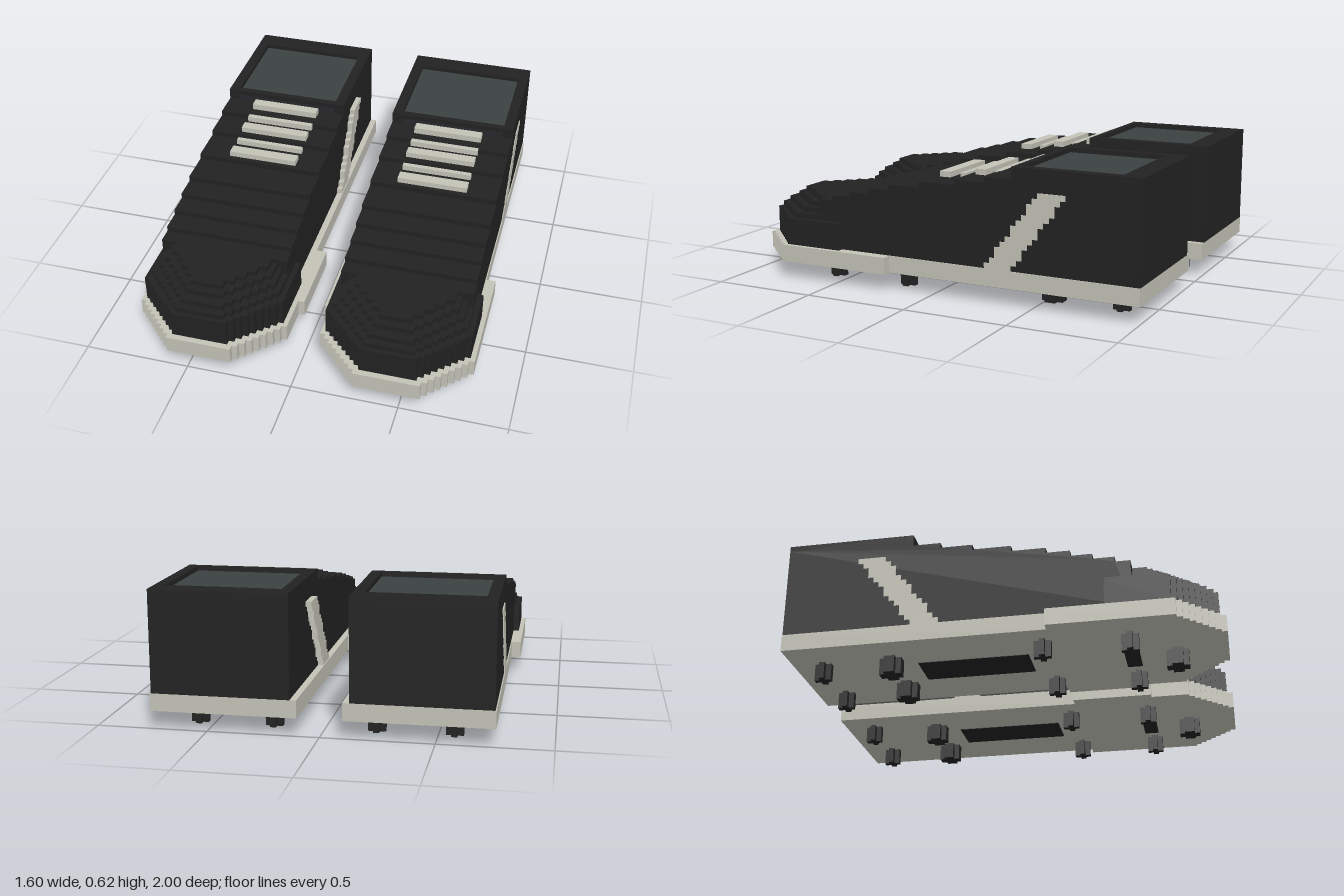
import * as THREE from 'three';

const mat = (name, color) => {
  const m = new THREE.MeshStandardMaterial({ color });
  m.name = name;
  return m;
};

export function createModel() {
  const black = mat('black upper', 0x222222);
  const cream = mat('cream sole', 0xc2c2b6);
  const lining = mat('grey lining', 0x3b4241);
  const tongueMat = mat('dark tongue', 0x26282c);
  const model = new THREE.Group();
  model.name = 'shoePair';
  const U = 0.0258; // size of one stair step

  // One shoe; s = 1 for the left foot, -1 for its mirror image
  function buildShoe(s) {
    const shoe = new THREE.Group();
    shoe.name = s > 0 ? 'leftShoe' : 'rightShoe';

    const add = (name, geo, m) => {
      const mesh = new THREE.Mesh(geo, m);
      mesh.name = name;
      shoe.add(mesh);
    };
    const box = (name, m, x0, x1, y0, y1, z0, z1) => {
      const g = new THREE.BoxGeometry(x1 - x0, y1 - y0, z1 - z0);
      g.translate(s * (x0 + x1) / 2, (y0 + y1) / 2, (z0 + z1) / 2);
      add(name, g, m);
    };
    // Flat slab from an outline of [x, z] points
    const slab = (name, m, pts, y0, y1) => {
      const shape = new THREE.Shape(pts.map(([x, z]) => new THREE.Vector2(s * x, z)));
      const g = new THREE.ExtrudeGeometry(shape, { depth: y1 - y0, bevelEnabled: false });
      g.rotateX(Math.PI / 2).translate(0, y1, 0);
      add(name, g, m);
    };
    // Stair-stepped toe outline running from the outer to the inner side
    const toe = (x0, x1, zSide, zFront, n, run) => {
      const outer = [], inner = [], dz = (zFront - zSide) / n, dx = run / n;
      for (let i = 0; i <= n; i++) {
        const z = zSide + i * dz;
        if (i > 0) {
          outer.push([x1 - i * dx, z - dz]);
          inner.push([x0 + i * dx, z - dz]);
        }
        outer.push([x1 - i * dx, z]);
        inner.push([x0 + i * dx, z]);
      }
      return [...outer.slice(1), ...inner.slice(1).reverse()];
    };

    // Sole, wider at the forefoot
    slab('sole', cream, [
      [0.10, -1], [0.755, -1], [0.755, 0.22], [0.80, 0.22], [0.80, 0.79],
      ...toe(0.08, 0.80, 0.79, 1, 8, 0.205),
      [0.08, 0.79], [0.08, 0.605], [0.05, 0.605], [0.05, 0.22], [0.10, 0.22],
    ], 0.08, 0.16);

    // Upper with stepped instep: [z where the step ends, height]
    const steps = [[-0.40, 0.60], [-0.27, 0.57], [-0.12, 0.545], [0.06, 0.52], [0.22, 0.493],
      [0.33, 0.467], [0.43, 0.44], [0.53, 0.415], [0.60, 0.39]];
    const profile = [new THREE.Vector2(-1, 0.16)];
    let z = -1;
    for (const [end, h] of steps) {
      profile.push(new THREE.Vector2(z, h), new THREE.Vector2(end, h));
      z = end;
    }
    profile.push(new THREE.Vector2(z, 0.16));
    const body = new THREE.ExtrudeGeometry(new THREE.Shape(profile), { depth: 0.62, bevelEnabled: false });
    body.rotateY(-Math.PI / 2).translate(s > 0 ? 0.75 : -0.13, 0, 0);
    add('upper', body, black);

    // Toe cap in shrinking layers: [bottom, top, inset, start z, front z]
    const layers = [[0.16, 0.287, 0, 0.48, 0.97], [0.287, 0.313, 1, 0.48, 0.95],
      [0.313, 0.339, 2, 0.59, 0.92], [0.339, 0.365, 3, 0.59, 0.875], [0.365, 0.39, 4, 0.59, 0.84]];
    for (const [y0, y1, i, start, front] of layers) {
      const a = 0.102 + i * U, b = 0.778 - i * U, side = 0.77 - i * 0.026;
      slab('toeCap', black, [[a, start], [b, start], [b, side],
        ...toe(a, b, side, front, 8 - i, 0.205 - i * 0.012), [a, side]], y0, y1);
    }

    // Collar rim around the foot opening, lining and tongue edge
    box('collarBack', black, 0.13, 0.75, 0.60, 0.625, -1, -0.90);
    box('collarFront', black, 0.13, 0.75, 0.60, 0.625, -0.432, -0.40);
    box('collarInner', black, 0.13, 0.18, 0.60, 0.625, -0.90, -0.432);
    box('collarOuter', black, 0.70, 0.75, 0.60, 0.625, -0.90, -0.432);
    box('lining', lining, 0.18, 0.70, 0.598, 0.604, -0.90, -0.432);
    box('tongueEdge', tongueMat, 0.18, 0.70, 0.573, 0.60, -0.402, -0.396);

    // Laces
    for (const [z0, z1, top] of [[-0.38, -0.33, 0.60], [-0.277, -0.25, 0.572], [-0.20, -0.15, 0.572],
      [-0.097, -0.072, 0.546], [-0.02, 0.035, 0.546]]) {
      box('lace', cream, 0.26, 0.60, top - 0.05, top, z0, z1);
    }

    // Slanted stair-stepped side stripes
    for (let i = 0; i < 14; i++) {
      const front = -0.27 - Math.round(i * 0.75) * U, y = 0.16 + i * U;
      box('innerStripe', cream, 0.104, 0.132, y, y + U, front - 0.13, front);
      box('outerStripe', cream, 0.748, 0.755, y, y + U, front - 0.13, front);
    }

    // Cross-cornered studs: [x, z, half width]
    for (const [x, zc, r] of [[0.23, -0.855, 0.039], [0.57, -0.855, 0.039], [0.285, -0.53, 0.051],
      [0.57, -0.53, 0.051], [0.22, 0.185, 0.039], [0.636, 0.185, 0.039], [0.22, 0.575, 0.039],
      [0.636, 0.575, 0.039], [0.425, 0.77, 0.051]]) {
      const k = r - U;
      slab('stud', black, [[-k, -r], [k, -r], [k, -k], [r, -k], [r, k], [k, k],
        [k, r], [-k, r], [-k, k], [-r, k], [-r, -k], [-k, -k]].map(([px, pz]) => [x + px, zc + pz]), 0, 0.082);
    }

    // Dark reinforcement plates under the sole
    box('archPlate', black, 0.33, 0.52, 0.077, 0.083, -0.42, 0.10);
    box('forefootPlate', black, 0.30, 0.56, 0.077, 0.083, 0.53, 0.60);
    return shoe;
  }

  model.add(buildShoe(1), buildShoe(-1));
  return model;
}
